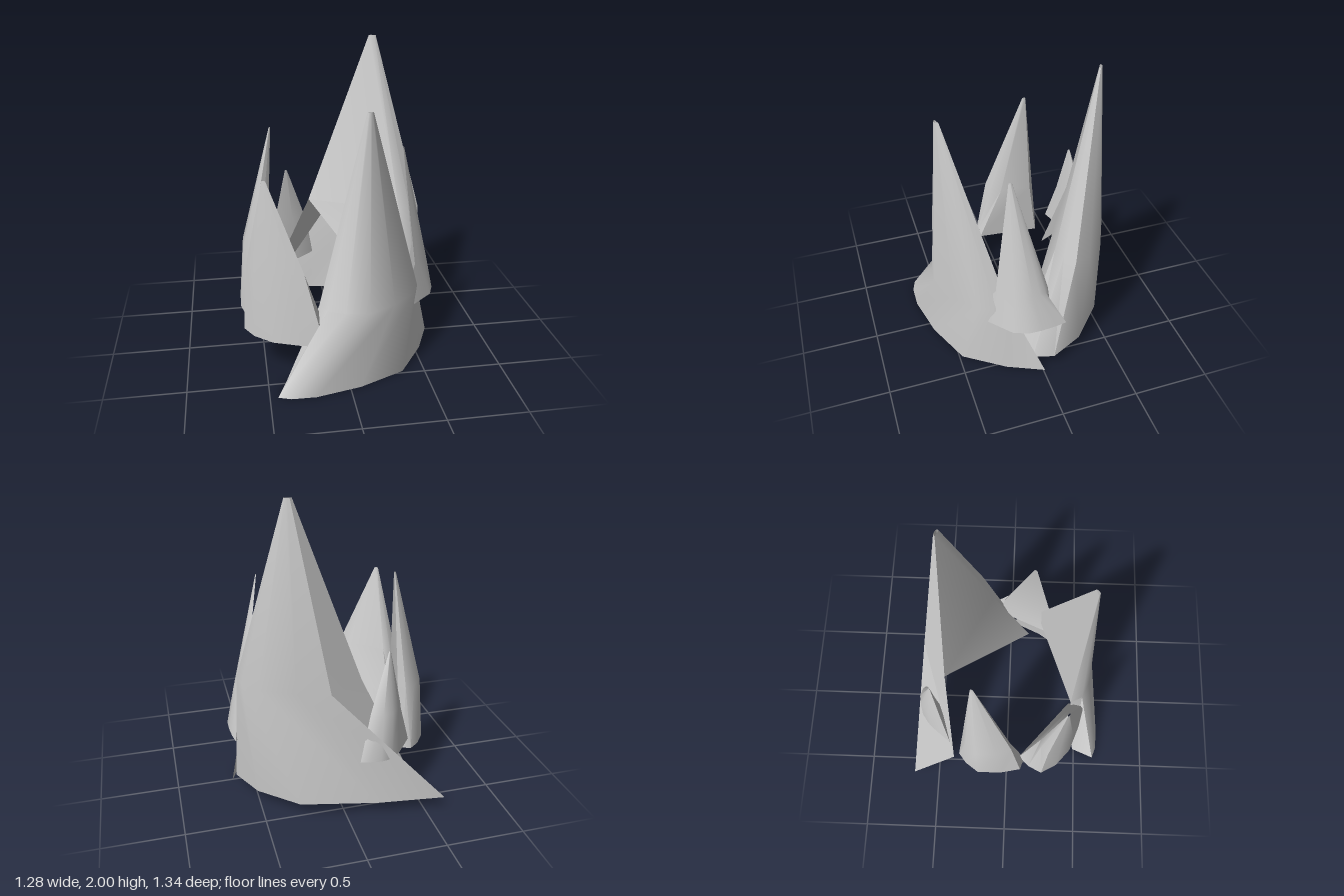
import * as THREE from 'three';
import { toCreasedNormals } from 'three/addons/utils/BufferGeometryUtils.js';

const material = new THREE.MeshStandardMaterial({ color: 0xcccccc, side: THREE.DoubleSide });
const COUNT = 8; // points per cross-section

// Cross-section in plan: an inner lip, then a smooth outer curve
function section([lip, ...outer]) {
  const points = outer.map(([x, z]) => new THREE.Vector2(x, z));
  return [new THREE.Vector2(...lip), ...new THREE.SplineCurve(points).getPoints(COUNT - 2)];
}

// Waist drawn in toward the tip at both ends, while its middle keeps bulging outward
function taperedWaist(base, axis) {
  return base.map((p, i) => p.clone().lerp(axis, 0.5 - 0.36 * Math.sin(Math.PI * i / (COUNT - 1))));
}

// One spike: a curved plate lofted through base, waist and tip, closed inside by a panel.
// skirt: how much of the inner side below the waist is closed (0 none, 1 half, 2 all)
function spike(name, { tip, baseY, waistY, skirt, base, waist }) {
  const axis = new THREE.Vector2(tip[0], tip[2]);
  const low = section(base);
  const mid = waist ? section(waist) : taperedWaist(low, axis);
  const centre = mid.reduce((sum, p) => sum.add(p), new THREE.Vector2()).divideScalar(COUNT);
  const top = mid.map((p) => p.clone().sub(centre).multiplyScalar(0.06).add(axis));

  const positions = [];
  [[low, baseY], [mid, waistY], [top, tip[1]]].forEach(([ring, y]) =>
    ring.forEach((p) => positions.push(p.x, y, p.y)));

  // Outer plate
  const index = [];
  const quad = (a, b, c, d) => index.push(a, b, c, a, c, d);
  for (let r = 0; r < 2; r++) {
    for (let i = 0; i < COUNT - 1; i++) {
      const a = r * COUNT + i;
      quad(a, a + 1, a + 1 + COUNT, a + COUNT);
    }
  }

  // Inner panel, above and below the waist
  const end = COUNT - 1;
  quad(COUNT + end, COUNT, 2 * COUNT, 2 * COUNT + end);
  if (skirt > 0) index.push(end, COUNT, COUNT + end);
  if (skirt > 1) index.push(end, 0, COUNT);

  const geometry = new THREE.BufferGeometry();
  geometry.setAttribute('position', new THREE.Float32BufferAttribute(positions, 3));
  geometry.setIndex(index);
  const mesh = new THREE.Mesh(toCreasedNormals(geometry, 0.8), material);
  mesh.name = name;
  return mesh;
}

export function createModel() {
  const group = new THREE.Group();
  group.name = 'spikeRing';

  // Two large spikes, front and back
  group.add(spike('frontSpike', {
    tip: [0.12, 1.71, 0.5], baseY: 0, waistY: 0.5, skirt: 0,
    base: [[-0.39, 0.49], [-0.45, 0.64], [-0.22, 0.67], [0.36, 0.48], [0.64, -0.01]],
    waist: [[-0.17, 0.44], [-0.13, 0.52], [0.12, 0.59], [0.44, 0.38], [0.5, 0.19]],
  }));
  group.add(spike('tallBackSpike', {
    tip: [0.31, 2, -0.4], baseY: 0.09, waistY: 0.87, skirt: 1,
    base: [[-0.5, -0.39], [-0.62, -0.67], [0.28, -0.51], [0.62, -0.08], [0.5, 0.14]],
    waist: [[-0.13, -0.42], [0.1, -0.57], [0.5, -0.4], [0.6, -0.2], [0.45, -0.12]],
  }));

  // Four smaller spikes between them
  group.add(spike('frontSideSpike', {
    tip: [-0.48, 1.3, 0.37], baseY: 0.27, waistY: 0.74, skirt: 2,
    base: [[-0.11, 0.44], [-0.15, 0.55], [-0.46, 0.45], [-0.63, 0.25], [-0.52, 0.09]],
  }));
  group.add(spike('sideSpike', {
    tip: [-0.4, 1.46, -0.2], baseY: 0.27, waistY: 0.7, skirt: 2,
    base: [[-0.46, -0.32], [-0.51, -0.34], [-0.64, -0.2], [-0.61, 0.1], [-0.5, 0.1]],
  }));
  group.add(spike('smallBackSpike', {
    tip: [-0.28, 1.07, -0.49], baseY: 0.39, waistY: 0.7, skirt: 2,
    base: [[-0.2, -0.48], [-0.08, -0.59], [-0.28, -0.6], [-0.46, -0.4]],
  }));
  group.add(spike('oppositeSideSpike', {
    tip: [0.4, 1.4, 0.15], baseY: 0.39, waistY: 0.65, skirt: 2,
    base: [[0.55, -0.08], [0.62, -0.15], [0.64, 0.02], [0.6, 0.2], [0.34, 0.41]],
    waist: [[0.53, -0.05], [0.57, -0.02], [0.58, 0.12], [0.47, 0.27]],
  }));
  return group;
}
